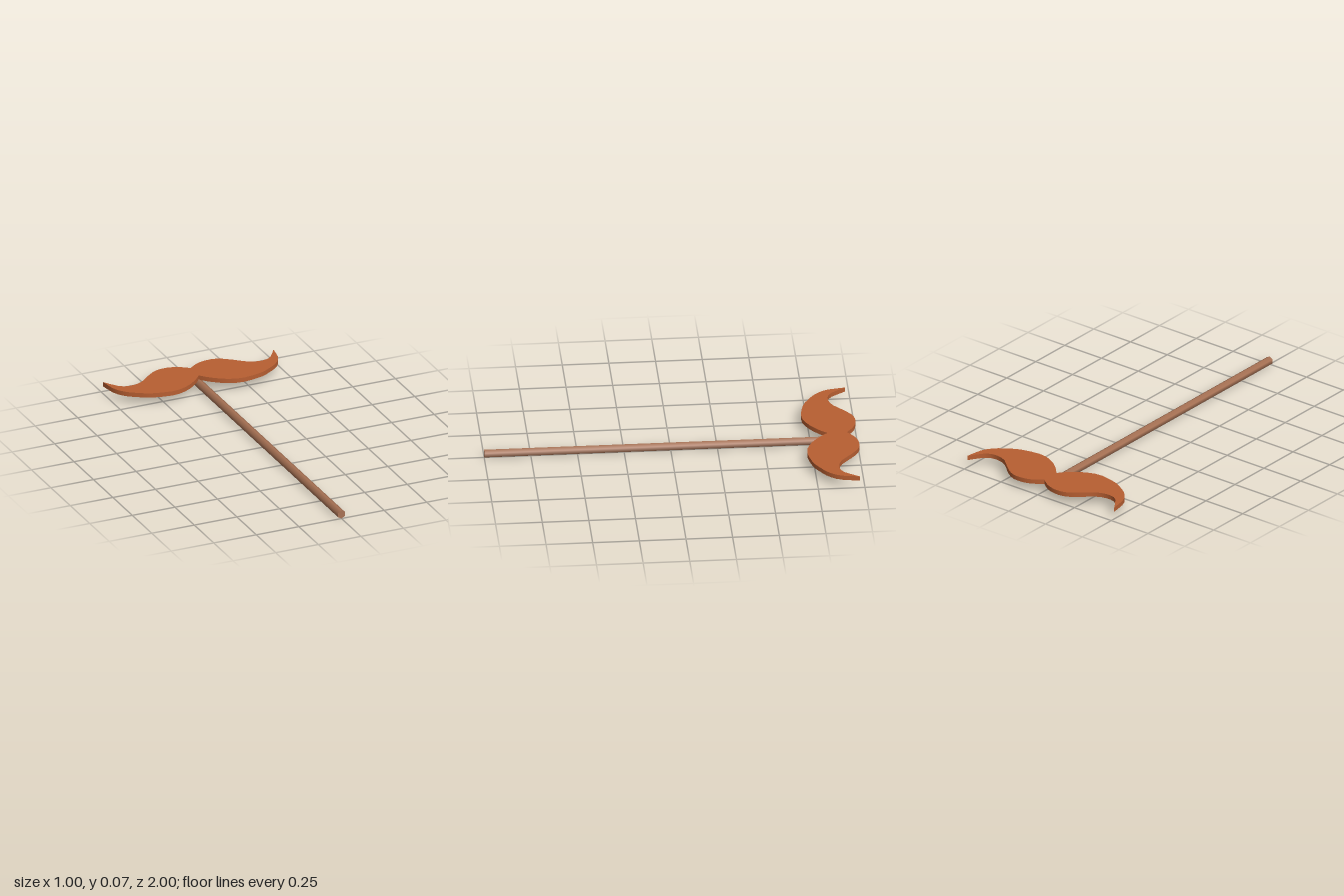
import * as THREE from 'three';
import { toCreasedNormals } from 'three/addons/utils/BufferGeometryUtils.js';

export function createModel() {
  const group = new THREE.Group();
  const rust = new THREE.MeshStandardMaterial({ color: 0xb85f32 });
  rust.name = 'rust brown';
  const wood = new THREE.MeshStandardMaterial({ color: 0xa87254 });
  wood.name = 'wood brown';

  // Right half of the moustache outline, as (x, distance towards the back)
  const upper = [[0, 0.943], [0.06, 0.985], [0.13, 1], [0.19, 0.988], [0.25, 0.945],
    [0.315, 0.89], [0.38, 0.872], [0.44, 0.89], [0.5, 0.974]];
  const lower = [[0.5, 0.974], [0.482, 0.873], [0.44, 0.81], [0.385, 0.77], [0.32, 0.735],
    [0.2, 0.714], [0.11, 0.742], [0.04, 0.795], [0, 0.84]];
  const toVec = ([x, y]) => new THREE.Vector2(x, y);
  const mirror = (pts) => pts.map(([x, y]) => [-x, y]).reverse();

  // Four smooth edges meeting at sharp tips and notches
  const shape = new THREE.Shape();
  shape.moveTo(...upper[0]);
  for (const edge of [upper, lower, mirror(lower), mirror(upper)]) {
    shape.splineThru(edge.slice(1).map(toVec));
  }

  // Flat moustache plate, lying on top of the stick
  const plateGeo = new THREE.ExtrudeGeometry(shape, { depth: 0.025, bevelEnabled: false, curveSegments: 2 });
  plateGeo.rotateX(-Math.PI / 2);
  const plate = new THREE.Mesh(toCreasedNormals(plateGeo, 0.6), rust);
  plate.name = 'moustache';
  plate.position.y = 0.043;
  group.add(plate);

  // Six-sided handle running to the front
  const r = 0.0235;
  const stickGeo = new THREE.CylinderGeometry(r, r, 1.875, 6);
  stickGeo.rotateX(Math.PI / 2);
  const stick = new THREE.Mesh(stickGeo, wood);
  stick.name = 'stick';
  stick.position.set(0, r, 0.0625);
  group.add(stick);

  return group;
}
